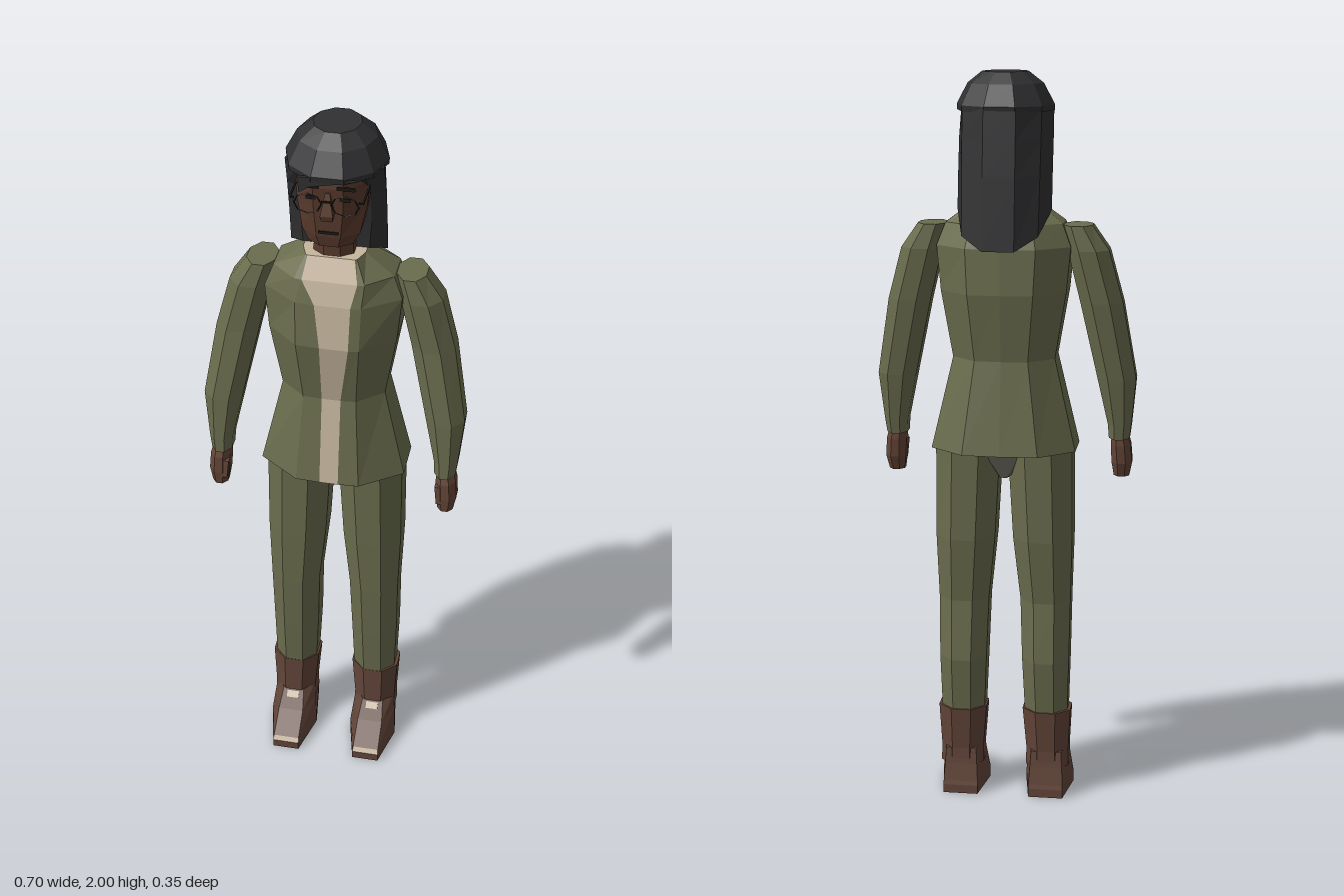
import * as THREE from 'three';

const mat = (name, color) => {
  const m = new THREE.MeshStandardMaterial({ color, flatShading: true });
  m.name = name;
  return m;
};

// Horizontal ring with n sides and half extents rx, rz, starting at the front and going towards +x
function ring([y, cx, cz, rx, rz], n = 8) {
  const k = 1 / Math.cos(Math.PI / n);
  return Array.from({ length: n }, (_, i) => {
    const a = ((i + 0.5) / n) * Math.PI * 2;
    return [cx + Math.sin(a) * rx * k, y, cz + Math.cos(a) * rz * k];
  });
}

// Completes a +x half outline with its mirror image
const sym = (half) => [...half, ...half.map(([x, y, z]) => [-x, y, z]).reverse()];

const flip = (rings) => rings.map((r) => r.map(([x, y, z]) => [-x, y, z]).reverse());

// Skin over rings listed bottom to top; pick(level, side) gives a material index, also for the caps
function loft(name, rings, mats, pick = () => 0) {
  const list = [].concat(mats);
  const buckets = list.map(() => []);
  const n = rings[0].length;
  const mid = (r) => [0, 1, 2].map((c) => r.reduce((s, p) => s + p[c], 0) / n);
  const first = rings[0], last = rings[rings.length - 1];
  const lo = mid(first), hi = mid(last);
  for (let i = 0; i < n; i++) {
    const j = (i + 1) % n;
    for (let l = 0; l < rings.length - 1; l++) {
      const a = rings[l], b = rings[l + 1];
      buckets[pick(l, i)].push(a[i], a[j], b[j], a[i], b[j], b[i]);
    }
    buckets[pick('bottom', i)].push(first[j], first[i], lo);
    buckets[pick('top', i)].push(last[i], last[j], hi);
  }
  const g = new THREE.BufferGeometry();
  g.setAttribute('position', new THREE.Float32BufferAttribute(buckets.flat(2), 3));
  let start = 0;
  buckets.forEach((b, i) => {
    g.addGroup(start, b.length, i);
    start += b.length;
  });
  g.computeVertexNormals();
  const mesh = new THREE.Mesh(g, list);
  mesh.name = name;
  return mesh;
}

function box(name, m, [w, h, d], [x, y, z]) {
  const mesh = new THREE.Mesh(new THREE.BoxGeometry(w, h, d), m);
  mesh.name = name;
  mesh.position.set(x, y, z);
  return mesh;
}

export function createModel() {
  const olive = mat('olive cloth', 0x6b6d4e);
  const skin = mat('skin', 0x57392c);
  const leather = mat('brown leather', 0x624539);
  const handSkin = mat('hand skin', 0x664638);
  const hair = mat('black hair', 0x303032);
  const cream = mat('cream shirt', 0xc6b69e);
  const grey = mat('grey lining', 0x66645c);
  const dark = mat('dark trim', 0x1f1a17);

  const model = new THREE.Group();
  model.name = 'standingWoman';
  const add = (...m) => model.add(...m);

  // Jacket: y, half width, front corner x, front z, back z, shirt opening left and right edges
  const jacket = [
    [1.0, 0.195, 0.085, 0.137, -0.145, -0.02, 0.03],
    [1.25, 0.137, 0.07, 0.1, -0.11, -0.02, 0.03],
    [1.43, 0.167, 0.082, 0.131, -0.135, -0.02, 0.055],
    [1.55, 0.178, 0.085, 0.118, -0.13, -0.035, 0.058],
    [1.61, 0.155, 0.09, 0.1, -0.11, -0.07, 0.072],
    [1.665, 0.08, 0.065, 0.07, -0.04, -0.06, 0.06],
  ].map(([y, w, fx, f, b, xl, xr]) => [
    [xr, y, f], [fx, y, f - 0.003], [w, y, f * 0.4], [w, y, b * 0.45], [w * 0.52, y, b],
    [0, y, b - 0.005],
    [-w * 0.52, y, b], [-w, y, b * 0.45], [-w, y, f * 0.4], [-fx, y, f - 0.003], [xl, y, f],
  ]);
  add(loft('jacket', jacket, [olive, cream, grey], (l, i) =>
    l === 'bottom' ? 2 : l === 'top' || i === 10 ? 1 : 0));

  // Hips between the legs
  add(loft('hips', [ring([0.92, 0, -0.01, 0.02, 0.05]), ring([1.01, 0, -0.01, 0.14, 0.08])], grey));

  // Limbs, described for the +x side
  const limbs = [
    ['trouserLeg', olive, [
      [0.2, 0.117, -0.007, 0.058, 0.058], [0.4, 0.115, -0.013, 0.065, 0.077],
      [0.57, 0.113, -0.002, 0.069, 0.075], [0.75, 0.106, -0.01, 0.081, 0.09],
      [1.03, 0.097, -0.012, 0.088, 0.095]]],
    ['bootShaft', leather, [
      [0.08, 0.12, -0.005, 0.06, 0.062], [0.13, 0.12, -0.004, 0.059, 0.061],
      [0.25, 0.118, -0.01, 0.067, 0.065]]],
    ['sleeve', olive, [
      [1.02, 0.306, 0.042, 0.028, 0.044], [1.06, 0.307, 0.038, 0.032, 0.047],
      [1.19, 0.299, 0.023, 0.052, 0.056], [1.4, 0.258, -0.001, 0.057, 0.06],
      [1.54, 0.222, -0.008, 0.055, 0.064], [1.605, 0.194, -0.01, 0.038, 0.056]]],
    ['hand', handSkin, [
      [0.91, 0.312, 0.058, 0.021, 0.026], [0.95, 0.313, 0.052, 0.028, 0.036],
      [1.0, 0.31, 0.048, 0.027, 0.038], [1.04, 0.306, 0.042, 0.02, 0.03]]],
    ['thumb', handSkin, [
      [0.935, 0.297, 0.078, 0.008, 0.009], [0.99, 0.295, 0.072, 0.012, 0.013]]],
  ];
  for (const [name, m, rows] of limbs) {
    const rings = rows.map((r) => ring(r, name === 'thumb' ? 4 : 8));
    add(loft(name + 'Left', rings, m), loft(name + 'Right', flip(rings), m));
  }

  // Shoes: toe, ball and heel half outlines, with a pale toe edge and grey sole
  const foot = [
    [0, 0.038, 0.175, 0.068, 0.05, 0.048, -0.08],
    [0.024, 0.038, 0.175, 0.068, 0.05, 0.048, -0.08],
    [0.036, 0.037, 0.166, 0.067, 0.05, 0.048, -0.077],
    [0.085, 0.036, 0.1, 0.062, 0.03, 0.045, -0.068],
    [0.13, 0.03, 0.055, 0.057, 0.015, 0.042, -0.062],
  ].map(([y, tx, tz, bx, bz, hx, hz]) =>
    sym([[tx, y, tz], [bx, y, bz], [hx, y, hz]]).map(([x, py, z]) => [x + 0.12, py, z]));
  const shoePick = (l, i) => (l === 'bottom' ? 2 : l === 1 && i === 5 ? 1 : 0);
  add(loft('shoeLeft', foot, [leather, cream, grey], shoePick),
    loft('shoeRight', flip(foot), [leather, cream, grey], shoePick));
  for (const s of [1, -1]) {
    const patch = box('instepPatch', cream, [0.035, 0.02, 0.006], [s * 0.12, 0.117, 0.067]);
    patch.rotation.x = -0.8;
    add(patch);
  }

  // Neck and head
  add(loft('neck', [[1.62, 0, 0.022, 0.055, 0.04], [1.76, 0, 0.025, 0.045, 0.035]].map((r) => ring(r)), skin));
  add(loft('head', [
    [1.715, 0, 0.06, 0.055, 0.04], [1.745, 0, 0.045, 0.073, 0.06], [1.82, 0, 0.02, 0.088, 0.086],
    [1.88, 0, 0.01, 0.092, 0.1], [1.93, 0, 0, 0.09, 0.1],
  ].map((r) => ring(r, 8)), skin));
  add(loft('nose', [[1.8, 0, 0.11, 0.014, 0.016], [1.815, 0, 0.112, 0.016, 0.018],
    [1.87, 0, 0.105, 0.006, 0.008]].map((r) => ring(r, 4)), skin));
  add(box('mouth', dark, [0.05, 0.007, 0.006], [0, 1.757, 0.105]));

  // Eyes, brows and glasses
  for (const s of [1, -1]) {
    add(box('eye', dark, [0.026, 0.009, 0.006], [s * 0.042, 1.853, 0.106]));
    add(box('brow', dark, [0.045, 0.008, 0.006], [s * 0.045, 1.885, 0.11]));
    const rim = new THREE.Mesh(new THREE.TorusGeometry(0.034, 0.0022, 4, 8), dark);
    rim.name = 'glassesRim';
    rim.scale.y = 0.8;
    rim.position.set(s * 0.046, 1.848, 0.128);
    add(rim, box('glassesTemple', dark, [0.004, 0.004, 0.13], [s * 0.09, 1.86, 0.063]));
    add(box('glassesHinge', dark, [0.012, 0.004, 0.004], [s * 0.085, 1.86, 0.127]));
  }
  add(box('glassesBridge', dark, [0.026, 0.004, 0.004], [0, 1.855, 0.128]));

  // Hair: rounded crown, then a long mass falling behind the face
  add(loft('hairCrown', [
    [1.9, 0, -0.01, 0.122, 0.128], [1.915, 0, -0.01, 0.123, 0.13],
    [1.97, 0, -0.012, 0.095, 0.1], [2.0, 0, -0.015, 0.058, 0.064],
  ].map((r) => ring(r, 10)), hair));
  add(loft('longHair', [
    [[0.085, 1.665, 0.005], [0.125, 1.645, -0.035], [0.1, 1.585, -0.135], [0.042, 1.55, -0.176]],
    [[0.09, 1.74, 0.01], [0.125, 1.74, -0.02], [0.102, 1.74, -0.115], [0.042, 1.74, -0.157]],
    [[0.09, 1.83, 0.025], [0.125, 1.83, 0], [0.103, 1.83, -0.1], [0.042, 1.83, -0.147]],
    [[0.085, 1.91, 0.085], [0.123, 1.91, 0.03], [0.103, 1.91, -0.085], [0.042, 1.91, -0.138]],
  ].map(sym), hair));

  // Fringe swept across the brow
  const fringe = new THREE.Shape([[-0.075, 1.91], [-0.07, 1.868], [-0.045, 1.885], [0.03, 1.9], [0.075, 1.91]]
    .map(([x, y]) => new THREE.Vector2(x, y)));
  const sweep = new THREE.Mesh(new THREE.ExtrudeGeometry(fringe, { depth: 0.008, bevelEnabled: false }), hair);
  sweep.name = 'fringe';
  sweep.position.z = 0.108;
  add(sweep);

  return model;
}
